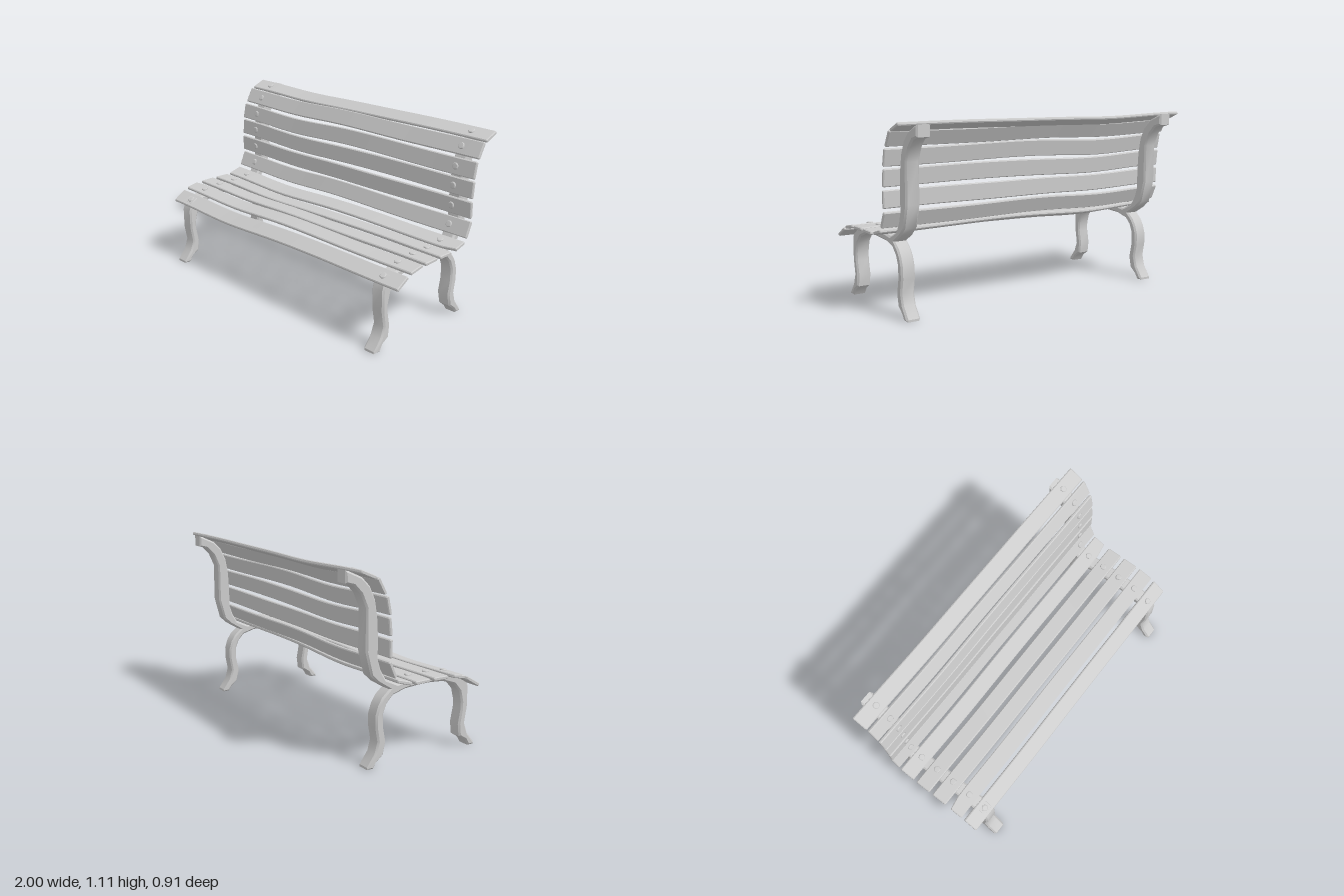
import * as THREE from 'three';
import { toCreasedNormals } from 'three/addons/utils/BufferGeometryUtils.js';

const material = new THREE.MeshStandardMaterial({ color: 0xcccccc });

// Side outline of the cast frame as [depth towards the back, height]
const OUTLINE = [
  // front foot and outer edge of the front leg
  [-0.455, 0], [-0.455, 0.013], [-0.405, 0.075], [-0.381, 0.14], [-0.398, 0.235], [-0.398, 0.36],
  [-0.378, 0.41], [-0.34, 0.435],
  // seat rail top
  [-0.275, 0.448], [-0.2, 0.461], [-0.09, 0.466], [0.045, 0.464], [0.11, 0.454],
  // front edge of the back
  [0.19, 0.49], [0.225, 0.55], [0.243, 0.61], [0.244, 0.74], [0.25, 0.84], [0.266, 0.93],
  [0.3, 1.005], [0.35, 1.056], [0.428, 1.092], [0.453, 1.099],
  // rear edge of the back
  [0.453, 1.031], [0.403, 1.017], [0.357, 0.969], [0.322, 0.89], [0.322, 0.655], [0.287, 0.522],
  [0.24, 0.478], [0.163, 0.431],
  // rear leg and foot
  [0.208, 0.393], [0.234, 0.352], [0.252, 0.296], [0.252, 0.228], [0.237, 0.147], [0.255, 0.082],
  [0.305, 0.013], [0.305, 0], [0.265, 0], [0.246, 0.03], [0.2, 0.067], [0.184, 0.14],
  [0.202, 0.228], [0.202, 0.302], [0.18, 0.355], [0.14, 0.396],
  // underside of the seat rail and inner edge of the front leg
  [0.058, 0.419], [-0.085, 0.428], [-0.208, 0.419], [-0.29, 0.39], [-0.334, 0.34], [-0.351, 0.273],
  [-0.351, 0.228], [-0.334, 0.14], [-0.343, 0.067], [-0.389, 0.038], [-0.412, 0],
];

// Each slat: centre z, centre y, tilt in degrees, worn corner (-1 left end front, 1 right end back)
const SLATS = [
  [0.349, 0.418, 31, 0], [0.236, 0.465, 11, -1], [0.112, 0.474, 1, 0], [-0.013, 0.474, -1, 0], [-0.136, 0.489, 16, 1],
  [-0.217, 0.57, 66, 0], [-0.231, 0.685, 90, 0], [-0.237, 0.803, 84, 0], [-0.249, 0.915, 78, 0],
  [-0.295, 1.02, 61, 0], [-0.378, 1.085, 23, 0],
];
const SLAT_WIDTH = 0.1, SLAT_THICK = 0.02, FRAME_X = 0.863, FRAME_WIDTH = 0.087;

function frameGeometry() {
  const shape = new THREE.Shape(OUTLINE.map(([u, v]) => new THREE.Vector2(u, v)));
  const bevel = 0.01, depth = FRAME_WIDTH - 2 * bevel;
  const geometry = new THREE.ExtrudeGeometry(shape, {
    depth, bevelEnabled: true, bevelThickness: bevel, bevelSize: bevel, bevelOffset: -bevel, bevelSegments: 1,
  });
  geometry.translate(0, 0, -depth / 2).rotateY(Math.PI / 2);
  return toCreasedNormals(geometry, 0.6);
}

// Sag of the old timber along its length
function sag(x, index) {
  const dip = -0.015 * Math.exp(-(((x + 0.47) / 0.32) ** 2));
  return dip + 0.004 * Math.sin(index * 1.7 + x * 4) * (1 - x * x);
}

// Local x runs across the slat, y out of its face, z along it
function slatMatrix([z, y, degrees]) {
  const a = THREE.MathUtils.degToRad(degrees);
  const across = new THREE.Vector3(0, Math.sin(a), -Math.cos(a));
  const normal = new THREE.Vector3(0, Math.cos(a), Math.sin(a));
  return new THREE.Matrix4().makeBasis(across, normal, new THREE.Vector3(1, 0, 0)).setPosition(0, y, z);
}

function slatGeometry(spec, index) {
  const w = SLAT_WIDTH / 2, t = SLAT_THICK / 2, c = 0.005, end = 0.005;
  const shape = new THREE.Shape([
    [-w + c, -t], [w - c, -t], [w, -t + c], [w, t - c], [w - c, t], [-w + c, t], [-w, t - c], [-w, -t + c],
  ].map(([u, v]) => new THREE.Vector2(u, v)));
  const depth = 2 - 2 * end;
  const geometry = new THREE.ExtrudeGeometry(shape, {
    depth, steps: 24, bevelEnabled: true, bevelThickness: end, bevelSize: 0.004, bevelOffset: -0.004, bevelSegments: 1,
  });
  geometry.translate(0, 0, -depth / 2);
  const p = geometry.attributes.position;
  const worn = spec[3];
  // worn corner
  for (let i = 0; worn && i < p.count; i++) {
    const u = p.getX(i), along = p.getZ(i) * worn;
    if (along > 0.9 && u * -1 > 0 === worn < 0 ? false : along > 0.9) p.setX(i, u * (1 - 0.35 * (along - 0.9) / 0.1));
  }
  geometry.applyMatrix4(slatMatrix(spec));
  for (let i = 0; i < p.count; i++) p.setY(i, p.getY(i) + sag(p.getX(i), index));
  return toCreasedNormals(geometry, 0.5);
}

// Low domed bolt head
function boltGeometry() {
  const profile = [[0.02, -0.004], [0.02, 0.004], [0.016, 0.008], [0, 0.009]];
  const geometry = new THREE.LatheGeometry(profile.map(([r, h]) => new THREE.Vector2(r, h)), 12);
  return toCreasedNormals(geometry, 0.6);
}

export function createModel() {
  const bench = new THREE.Group();
  bench.name = 'bench';
  const add = (geometry, name, parent) => {
    const mesh = new THREE.Mesh(geometry, material);
    mesh.name = name;
    parent.add(mesh);
    return mesh;
  };

  // Two cast side frames
  const frame = frameGeometry();
  for (const side of [-1, 1]) add(frame, side > 0 ? 'leftFrame' : 'rightFrame', bench).position.x = side * FRAME_X;

  // Slats with a bolt over each frame
  const bolt = boltGeometry();
  SLATS.forEach((spec, index) => {
    const group = new THREE.Group();
    group.name = index < 5 ? 'seatSlat' : 'backSlat';
    bench.add(group);
    add(slatGeometry(spec, index), 'plank', group);
    for (const side of [-1, 1]) {
      const mesh = add(bolt, 'bolt', group);
      const matrix = slatMatrix(spec);
      mesh.quaternion.setFromRotationMatrix(matrix);
      mesh.position.set(0, SLAT_THICK / 2, side * FRAME_X).applyMatrix4(matrix);
      mesh.position.y += sag(side * FRAME_X, index);
    }
  });
  return bench;
}
